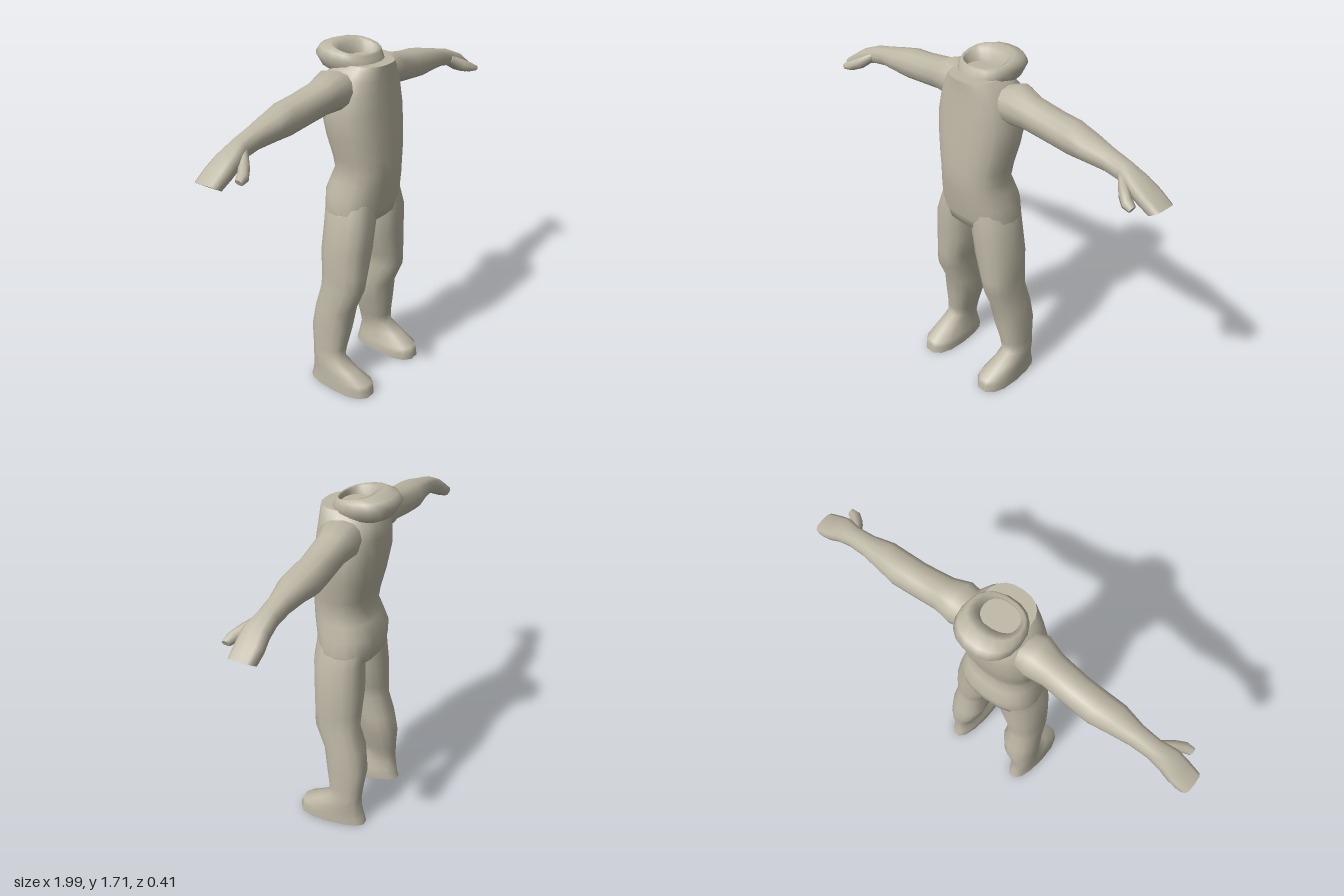
import * as THREE from 'three';

const suit = new THREE.MeshStandardMaterial({ color: 0xbdb7a5 });
suit.name = 'warmGreySuit';

// Rounded-square power curve for cross-sections
const pow = (v, e) => Math.sign(v) * Math.pow(Math.abs(v), 2 / e);

// Skin a list of sections {c, u, v, e, taper}: centre, two half-axes, squareness
// and a narrowing of the u axis towards -v. Ends are closed by hard-edged caps.
function loft(name, sections, sides, mirror = 1) {
  const pos = [], idx = [];
  const rings = sections.map(({ c, u, v, e = 2.3, taper = 0 }) => {
    const ring = [];
    for (let i = 0; i < sides; i++) {
      const a = (i / sides) * Math.PI * 2;
      const sn = pow(Math.sin(a), e), cs = pow(Math.cos(a), e) * (1 + taper * sn);
      ring.push([0, 1, 2].map(k => (c[k] + u[k] * cs + v[k] * sn) * (k ? 1 : mirror)));
    }
    return ring;
  });
  rings.forEach(r => r.forEach(p => pos.push(...p)));
  for (let j = 0; j < rings.length - 1; j++) {
    for (let i = 0; i < sides; i++) {
      const a = j * sides + i, b = j * sides + (i + 1) % sides;
      idx.push(a, b, b + sides, a, b + sides, a + sides);
    }
  }
  [0, rings.length - 1].forEach(j => {
    const base = pos.length / 3;
    rings[j].forEach(p => pos.push(...p));
    pos.push(...[0, 1, 2].map(k => rings[j].reduce((s, p) => s + p[k], 0) / sides));
    for (let i = 0; i < sides; i++) {
      const a = base + i, b = base + (i + 1) % sides;
      if (j) idx.push(a, b, base + sides); else idx.push(b, a, base + sides);
    }
  });

  // Turn the faces outwards if the enclosed volume is negative
  const P = i => new THREE.Vector3().fromArray(pos, i * 3);
  let volume = 0;
  for (let t = 0; t < idx.length; t += 3) {
    volume += P(idx[t]).dot(P(idx[t + 1]).cross(P(idx[t + 2])));
  }
  if (volume < 0) idx.reverse();

  const g = new THREE.BufferGeometry();
  g.setAttribute('position', new THREE.Float32BufferAttribute(pos, 3));
  g.setIndex(idx);
  g.computeVertexNormals();
  const mesh = new THREE.Mesh(g, suit);
  mesh.name = name;
  return mesh;
}

// Level section: height, x range, front and back z
const level = ([y, x0, x1, zf, zb, e, taper]) => ({
  c: [(x0 + x1) / 2, y, (zf + zb) / 2], u: [(x1 - x0) / 2, 0, 0], v: [0, 0, (zf - zb) / 2], e, taper,
});

// Upright section across an arm: x at top and bottom, y range, front and back z
const upright = ([xt, xb, yt, yb, zf, zb, e]) => ({
  c: [(xt + xb) / 2, (yt + yb) / 2, (zf + zb) / 2],
  u: [(xt - xb) / 2, (yt - yb) / 2, 0], v: [0, 0, (zf - zb) / 2], e,
});

// Tilted collar section: half width, front and back z, front and back height
const tilted = ([w, zf, zb, yf, yb]) => ({
  c: [0, (yf + yb) / 2, (zf + zb) / 2], u: [w, 0, 0],
  v: [0, (yf - yb) / 2, (zf - zb) / 2], e: 2.3,
});

export function createModel() {
  const model = new THREE.Group();
  model.name = 'bodySuit';

  // Torso from crotch to chest: height, half width, front z, back z
  const torso = [
    [0.88, 0.1, 0.09, -0.09], [0.91, 0.2, 0.14, -0.122], [0.96, 0.208, 0.152, -0.13],
    [1.03, 0.193, 0.165, -0.137], [1.1, 0.18, 0.175, -0.11], [1.15, 0.168, 0.18, -0.09],
    [1.22, 0.178, 0.18, -0.1], [1.32, 0.198, 0.172, -0.125], [1.43, 0.21, 0.162, -0.145],
    [1.52, 0.192, 0.155, -0.145], [1.58, 0.17, 0.15, -0.14], [1.62, 0.14, 0.15, -0.11],
    [1.64, 0.118, 0.15, -0.08],
  ];
  model.add(loft('torso', torso.map(([y, w, f, b]) => level([y, -w, w, f, b, 2.4])), 20));

  // Rolled open collar, folding over and down into the neck opening
  const collar = [
    [0.11, 0.1, -0.11, 1.61, 1.58], [0.132, 0.095, -0.175, 1.64, 1.61],
    [0.144, 0.085, -0.208, 1.655, 1.665], [0.135, 0.078, -0.185, 1.672, 1.7],
    [0.118, 0.07, -0.13, 1.68, 1.717], [0.1, 0.062, -0.085, 1.675, 1.7],
    [0.085, 0.065, -0.07, 1.648, 1.645],
  ];
  model.add(loft('collar', collar.map(tilted), 18));

  // Leg and foot: height, inner x, outer x, front z, back z, squareness, taper
  const leg = [
    [1.0, 0.01, 0.19, 0.14, -0.11], [0.9, 0.014, 0.224, 0.148, -0.1],
    [0.76, 0.026, 0.244, 0.138, -0.105], [0.64, 0.062, 0.245, 0.133, -0.1],
    [0.56, 0.085, 0.247, 0.128, -0.098], [0.44, 0.074, 0.26, 0.075, -0.128],
    [0.33, 0.096, 0.263, 0.062, -0.146], [0.22, 0.13, 0.264, 0.043, -0.134],
    [0.165, 0.146, 0.265, 0.04, -0.13, 2.4], [0.12, 0.145, 0.27, 0.11, -0.132, 2.3, 0.08],
    [0.07, 0.13, 0.274, 0.195, -0.14, 2.4, 0.15], [0.045, 0.124, 0.276, 0.203, -0.145, 2.4, 0.18],
    [0.008, 0.126, 0.276, 0.206, -0.155, 2.4, 0.2],
  ];

  // Arm and flat mitten hand: top x, bottom x, top y, bottom y, front z, back z
  const arm = [
    [0.1, 0.1, 1.6, 1.47, 0.07, -0.09], [0.2, 0.19, 1.632, 1.455, 0.08, -0.112],
    [0.28, 0.28, 1.602, 1.455, 0.056, -0.095], [0.42, 0.42, 1.578, 1.438, 0.045, -0.1],
    [0.51, 0.51, 1.57, 1.43, 0.045, -0.104], [0.6, 0.6, 1.55, 1.437, 0.046, -0.09],
    [0.7, 0.7, 1.525, 1.432, 0.025, -0.072], [0.79, 0.78, 1.503, 1.42, 0.022, -0.066, 2.5],
    [0.87, 0.84, 1.47, 1.4, 0.042, -0.07, 2.8], [0.93, 0.89, 1.43, 1.375, 0.042, -0.078, 3],
    [0.995, 0.94, 1.387, 1.35, 0.037, -0.075, 3.4],
  ];

  // Thumb, reaching forwards from the wrist
  const thumb = [
    [0.785, 0.78, 1.478, 1.435, 0.025, -0.02], [0.84, 0.825, 1.45, 1.395, 0.075, 0.015],
    [0.885, 0.865, 1.425, 1.38, 0.104, 0.05], [0.918, 0.905, 1.405, 1.378, 0.106, 0.068],
  ];

  for (const [side, m] of [['left', 1], ['right', -1]]) {
    model.add(loft(side + 'Leg', leg.map(level), 14, m));
    model.add(loft(side + 'Arm', arm.map(upright), 12, m));
    model.add(loft(side + 'Thumb', thumb.map(upright), 8, m));
  }
  return model;
}
